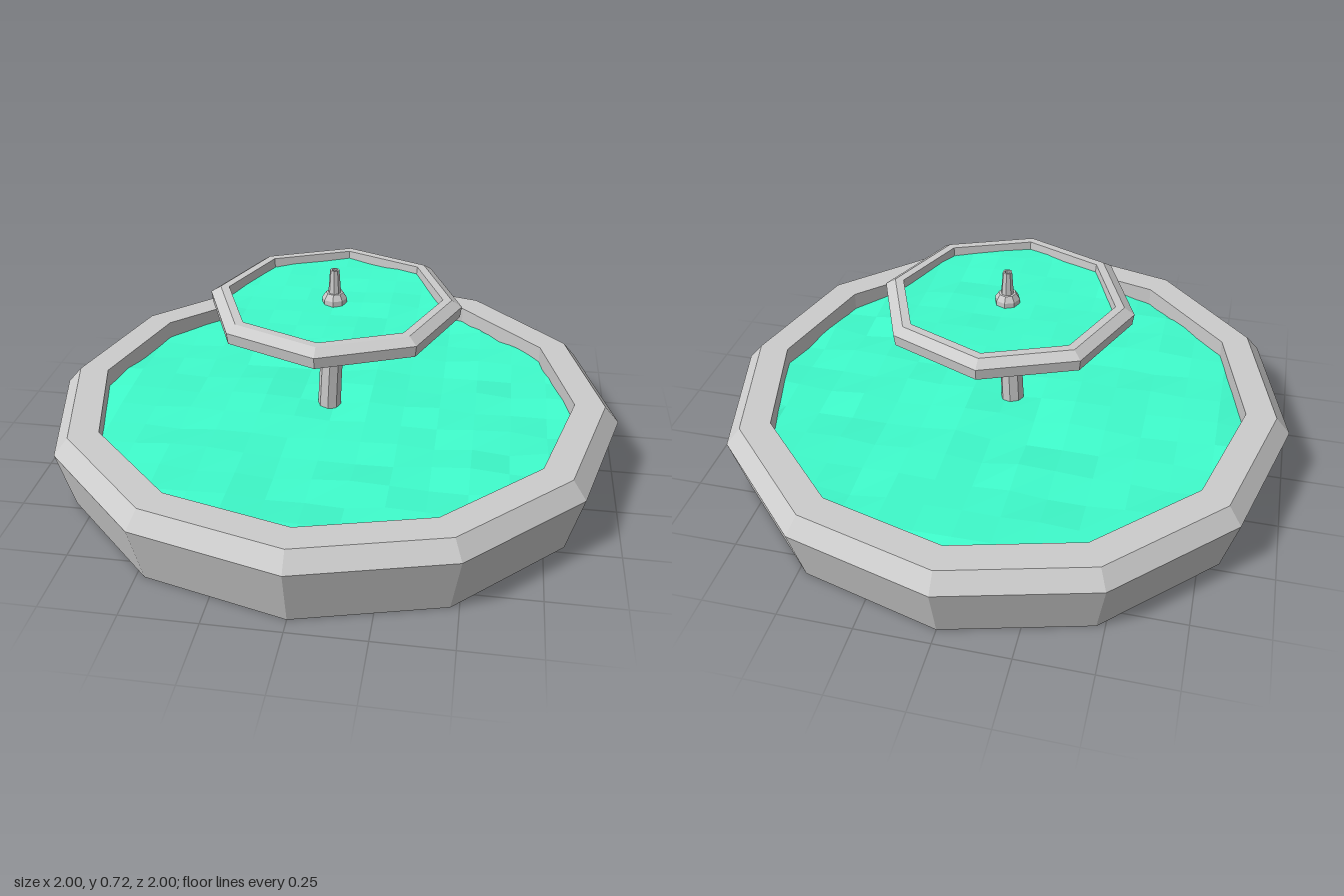
import * as THREE from 'three';

const stone = new THREE.MeshStandardMaterial({ color: 0xcccccc, flatShading: true });
const waterMaterial = new THREE.MeshStandardMaterial({ color: 0x3ffccc, flatShading: true, side: THREE.DoubleSide });

function addMesh(parent, name, geometry, material = stone) {
  const mesh = new THREE.Mesh(geometry, material);
  mesh.name = name;
  parent.add(mesh);
  return mesh;
}

// Faceted solid of revolution from [radius, height] pairs
function turned(profile, sides) {
  return new THREE.LatheGeometry(profile.map(([r, y]) => new THREE.Vector2(r, y)), sides);
}

// Repeatable value in -1..1 for a grid point
function ripple(i, j) {
  const s = Math.sin(i * 127.1 + j * 311.7) * 43758.5453;
  return (s - Math.floor(s)) * 2 - 1;
}

// Rippled square grid pulled in to a regular polygon with corners on the axes
function waterSurface(radius, sides, cells, height) {
  const geometry = new THREE.PlaneGeometry(2 * radius, 2 * radius, cells, cells).rotateX(-Math.PI / 2);
  const p = geometry.attributes.position;
  const step = (2 * Math.PI) / sides;
  for (let k = 0; k < p.count; k++) {
    const x = p.getX(k), z = p.getZ(k);
    const r = Math.hypot(x, z);
    const angle = Math.atan2(x, z) + 2 * Math.PI;
    const limit = radius * Math.cos(step / 2) / Math.cos((angle % step) - step / 2);
    const scale = r > limit ? limit / r : 1;
    const wave = ripple(k % (cells + 1), Math.floor(k / (cells + 1)));
    p.setXYZ(k, x * scale, wave * height, z * scale);
  }
  return geometry;
}

export function createModel() {
  const fountain = new THREE.Group();
  fountain.name = 'fountain';

  // Twelve-sided lower basin with a bevelled rim
  addMesh(fountain, 'basin', turned([
    [0, 0], [0.945, 0], [1, 0.205], [0.95, 0.262], [0.845, 0.262], [0.845, 0.12], [0, 0.12],
  ], 12));
  addMesh(fountain, 'basinWater', waterSurface(0.88, 12, 14, 0.012), waterMaterial).position.y = 0.2;

  // Slightly bent octagonal stem
  const stem = new THREE.CylinderGeometry(0.038, 0.042, 0.42, 8, 4, true).translate(0, 0.32, 0);
  const p = stem.attributes.position;
  for (let k = 0; k < p.count; k++) {
    const t = (0.53 - p.getY(k)) / 0.42;
    p.setX(k, p.getX(k) - 0.02 * Math.sin(t * Math.PI / 2));
  }
  addMesh(fountain, 'stem', stem);

  // Shallow eight-sided upper bowl, tipped a little toward the front
  const bowlGroup = new THREE.Group();
  bowlGroup.name = 'upperBowl';
  bowlGroup.position.y = 0.505;
  bowlGroup.rotation.x = 0.014;
  fountain.add(bowlGroup);
  addMesh(bowlGroup, 'bowl', turned([
    [0, 0], [0.04, 0], [0.43, 0.065], [0.435, 0.104], [0.4, 0.126], [0.37, 0.126], [0.365, 0.07], [0, 0.03],
  ], 8));
  addMesh(bowlGroup, 'bowlWater', waterSurface(0.385, 8, 8, 0.006), waterMaterial).position.y = 0.095;

  // Collar and hollow spout
  addMesh(fountain, 'spout', turned([
    [0.043, 0.55], [0.043, 0.615], [0.03, 0.635], [0.022, 0.635],
    [0.016, 0.717], [0.01, 0.717], [0.01, 0.67], [0, 0.67],
  ], 8));

  return fountain;
}
